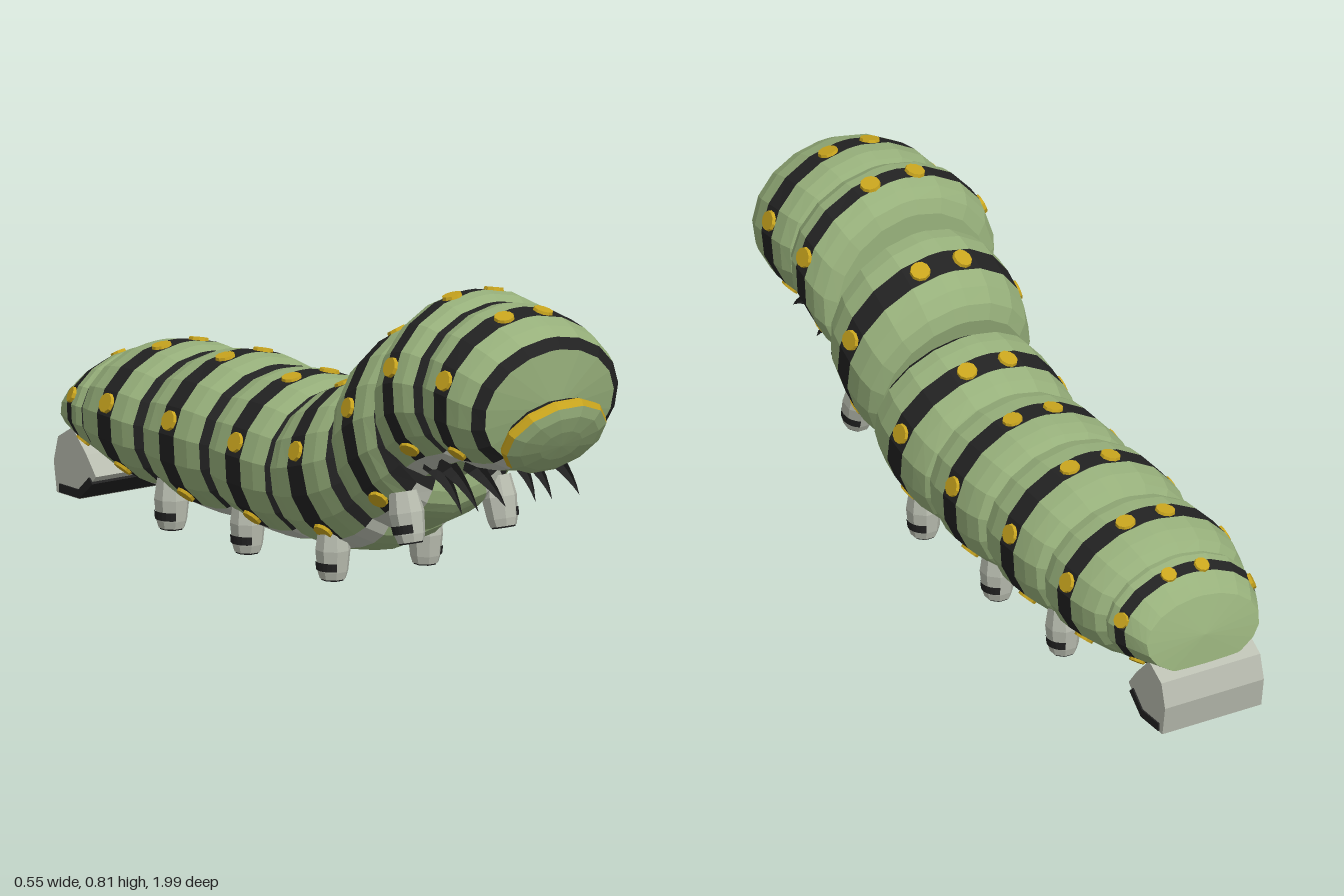
import * as THREE from 'three';

const mat = (name, color) => Object.assign(new THREE.MeshStandardMaterial({ color, flatShading: true }), { name });
const rad = THREE.MathUtils.degToRad;

// Half cross-section angles, from the top round to the belly, then mirrored
const HALF = [0, 5, 23, 43, 63, 83, 103, 122, 142, 157, 180];
const RING = [...HALF, ...HALF.slice(1, -1).reverse().map(a => -a)];

// Ring positions along a segment and how far each is pinched in
const STEPS = [0, 0.08, 0.22, 0.39, 0.61, 0.78, 0.92, 1];
const PINCH = [0.84, 0.95, 0.99, 1, 1, 0.99, 0.95, 0.84];

// Rear, middle and front stations: top z, top y, bottom z, bottom y, half width
const SEGMENTS = [
  { rear: [-0.92, 0.325, -0.965, 0.14, 0.165], mid: [-0.855, 0.375, -0.87, 0.115, 0.2], front: [-0.79, 0.395, -0.80, 0.09, 0.215], tail: true },
  { rear: [-0.80, 0.41, -0.80, 0.09, 0.23], mid: [-0.66, 0.435, -0.66, 0.07, 0.242], front: [-0.53, 0.435, -0.53, 0.055, 0.242] },
  { rear: [-0.53, 0.44, -0.53, 0.055, 0.242], mid: [-0.39, 0.46, -0.39, 0.045, 0.247], front: [-0.245, 0.455, -0.245, 0.045, 0.245] },
  { rear: [-0.25, 0.455, -0.25, 0.045, 0.245], mid: [-0.11, 0.46, -0.11, 0.04, 0.247], front: [0.03, 0.455, 0.03, 0.04, 0.245] },
  { rear: [-0.005, 0.445, 0.02, 0.04, 0.245], mid: [0.11, 0.49, 0.205, 0.06, 0.247], front: [0.235, 0.53, 0.35, 0.12, 0.245] },
  { rear: [0.225, 0.58, 0.34, 0.12, 0.245], mid: [0.335, 0.67, 0.45, 0.18, 0.256], front: [0.475, 0.715, 0.52, 0.23, 0.25] },
  { rear: [0.485, 0.77, 0.475, 0.27, 0.262], mid: [0.575, 0.805, 0.58, 0.345, 0.272], front: [0.675, 0.795, 0.67, 0.365, 0.26] },
  { rear: [0.665, 0.80, 0.665, 0.365, 0.25], mid: [0.79, 0.79, 0.755, 0.375, 0.253], front: [0.93, 0.745, 0.865, 0.385, 0.24], head: true },
];

// Point on a segment's skin at t along it and angle a (degrees) around it
function skin(seg, t, a, k) {
  const [zt, yt, zb, yb, w] = seg.mid.map((m, i) =>
    seg.rear[i] * (1 - t) * (1 - 2 * t) + m * 4 * t * (1 - t) + seg.front[i] * t * (2 * t - 1));
  const c = Math.cos(rad(a)) * k / 2;
  return new THREE.Vector3(w * k * Math.sin(rad(a)), (yt + yb) / 2 + (yt - yb) * c, (zt + zb) / 2 + (zt - zb) * c);
}

function segmentGeometry(seg) {
  const n = RING.length, last = STEPS.length - 1, pos = [];
  const faces = [[], [], []]; // green, black, grey
  STEPS.forEach((t, i) => RING.forEach(a => {
    const k = seg.tail && i < 3 ? 1 : PINCH[i];
    pos.push(...skin(seg, t, a, k).toArray());
  }));
  // End cap centres, with a slight bulge at head and tail
  const back = skin(seg, 0, 0, 0), fore = skin(seg, 1, 0, 0);
  if (seg.tail) back.z -= 0.012;
  if (seg.head) fore.z += 0.03;
  pos.push(...back.toArray(), ...fore.toArray());
  for (let j = 0; j < n; j++) {
    const q = (j + 1) % n;
    const angle = (Math.abs(RING[j]) + Math.abs(RING[q])) / 2;
    for (let i = 0; i < last; i++) {
      const a = i * n + j, b = a + n, c = i * n + q, d = c + n;
      const dark = i === 3 || i === 6;
      const colour = angle > 157 ? 0 : angle > 142 ? 2 : dark ? 1 : 0;
      faces[colour].push(a, b, c, c, b, d);
    }
    faces[0].push(n * STEPS.length, j, q);
    faces[seg.head || angle > 157 ? 0 : 1].push(n * STEPS.length + 1, last * n + q, last * n + j);
  }
  const g = new THREE.BufferGeometry();
  g.setAttribute('position', new THREE.Float32BufferAttribute(pos, 3));
  g.setIndex(faces.flat());
  let start = 0;
  faces.forEach((f, i) => { g.addGroup(start, f.length, i); start += f.length; });
  g.computeVertexNormals();
  return g;
}

// Cone whose axis follows a curve in the yz plane
function clawGeometry(curve, radius) {
  const g = new THREE.ConeGeometry(radius, 1, 6, 5), p = g.attributes.position;
  for (let i = 0; i < p.count; i++) {
    const u = THREE.MathUtils.clamp(p.getY(i) + 0.5, 0, 1);
    const c = curve.getPoint(u), d = curve.getTangent(u);
    const s = p.getZ(i);
    p.setXYZ(i, c.x + p.getX(i), c.y + d.z * s, c.z - d.y * s);
  }
  g.computeVertexNormals();
  return g;
}

export function createModel() {
  const root = new THREE.Group();
  root.name = 'caterpillar';
  const green = mat('leafGreen', 0x97b07b), black = mat('black', 0x222222);
  const yellow = mat('spotYellow', 0xc9a51e), grey = mat('paleGrey', 0xb9bdb0);
  const add = (parent, name, geo, material) => {
    const m = new THREE.Mesh(geo, material);
    m.name = name;
    parent.add(m);
    return m;
  };

  // Body segments with a stripe, dark front wall and six spots each
  const spotGeo = new THREE.CylinderGeometry(0.025, 0.027, 0.009, 10);
  const up = new THREE.Vector3(0, 1, 0);
  SEGMENTS.forEach((seg, s) => {
    const group = new THREE.Group();
    group.name = seg.head ? 'headSegment' : seg.tail ? 'tailSegment' : 'bodySegment' + s;
    root.add(group);
    add(group, 'skin', segmentGeometry(seg), [green, black, grey]);
    for (const a of [14, 73, 132, -14, -73, -132]) {
      const along = skin(seg, 0.56, a, 1).sub(skin(seg, 0.44, a, 1));
      const around = skin(seg, 0.5, a + 5, 1).sub(skin(seg, 0.5, a - 5, 1));
      const spot = add(group, 'spot', spotGeo, yellow);
      spot.position.copy(skin(seg, 0.5, a, 1));
      spot.quaternion.setFromUnitVectors(up, along.cross(around).normalize());
      if (seg.tail) spot.scale.set(0.8, 1, 0.8);
    }
  });

  // Face: tilted oval plate with dark back, yellow rim and green front
  const face = new THREE.Group();
  face.name = 'face';
  face.position.set(0, 0.49, 0.922);
  face.rotation.x = rad(123);
  root.add(face);
  const ring = pts => new THREE.LatheGeometry(pts.map(([r, y]) => new THREE.Vector2(r, y)), 12, Math.PI / 12).scale(0.157, 1, 0.122);
  add(face, 'faceBack', ring([[0, -0.045], [0.8, -0.04], [0.96, -0.02]]), black);
  add(face, 'faceRim', ring([[0.96, -0.02], [1, -0.008], [0.95, 0.008]]), yellow);
  add(face, 'faceFront', ring([[0.95, 0.008], [0.75, 0.022], [0.4, 0.03], [0, 0.032]]), green);

  // Soft legs, in mirrored pairs: y, z of the foot and forward tilt
  const legGeo = new THREE.LatheGeometry(
    [[0.034, 0], [0.04, 0.02], [0.046, 0.075], [0.038, 0.13]].map(([r, y]) => new THREE.Vector2(r, y)), 8, Math.PI / 8);
  const soleGeo = new THREE.CylinderGeometry(0.034, 0.03, 0.008, 8, 1, false, Math.PI / 8);
  const bandGeo = new THREE.CylinderGeometry(0.0445, 0.0425, 0.022, 8, 1, true, Math.PI / 8, Math.PI * 0.75);
  for (const side of [1, -1]) {
    for (const [y, z, tilt] of [[0.004, 0.18, 0], [0.004, -0.18, 0], [0.004, -0.5, 0], [0.16, 0.51, -0.25]]) {
      const leg = new THREE.Group();
      leg.name = side > 0 ? 'leftLeg' : 'rightLeg';
      leg.position.set(side * 0.145, y, z);
      leg.rotation.set(tilt, side > 0 ? 0 : Math.PI, 0);
      root.add(leg);
      add(leg, 'legStump', legGeo, grey);
      add(leg, 'legSole', soleGeo, black);
      add(leg, 'legBand', bandGeo, black).position.y = 0.034;
    }
    // Hooked claws under the chest: base z, y then tip z, y
    for (const [bz, by, tz, ty] of [[0.73, 0.40, 0.87, 0.315], [0.62, 0.38, 0.755, 0.28], [0.56, 0.37, 0.685, 0.26]]) {
      const curve = new THREE.QuadraticBezierCurve3(
        new THREE.Vector3(side * 0.12, by, bz),
        new THREE.Vector3(side * 0.12, by - 0.035, bz + 0.09),
        new THREE.Vector3(side * 0.115, ty, tz));
      add(root, side > 0 ? 'leftClaw' : 'rightClaw', clawGeometry(curve, 0.026), black);
    }
  }

  // Broad rear clasper, one block with dark marks on its flanks
  const profile = pts => new THREE.Shape(pts.map(([z, y]) => new THREE.Vector2(-z, y)));
  const slab = (pts, depth) => new THREE.ExtrudeGeometry(profile(pts), { depth, bevelEnabled: false })
    .translate(0, 0, -depth / 2).rotateY(Math.PI / 2);
  add(root, 'rearClasper', slab([[-0.92, 0.18], [-0.98, 0.145], [-0.998, 0.08], [-0.985, 0], [-0.89, 0], [-0.82, 0.07], [-0.86, 0.12]], 0.29), grey);
  add(root, 'clasperMark', slab([[-0.89, 0.025], [-0.845, 0.065], [-0.83, 0.05], [-0.885, 0.003], [-0.97, 0.003], [-0.97, 0.025]], 0.298), black);
  return root;
}
